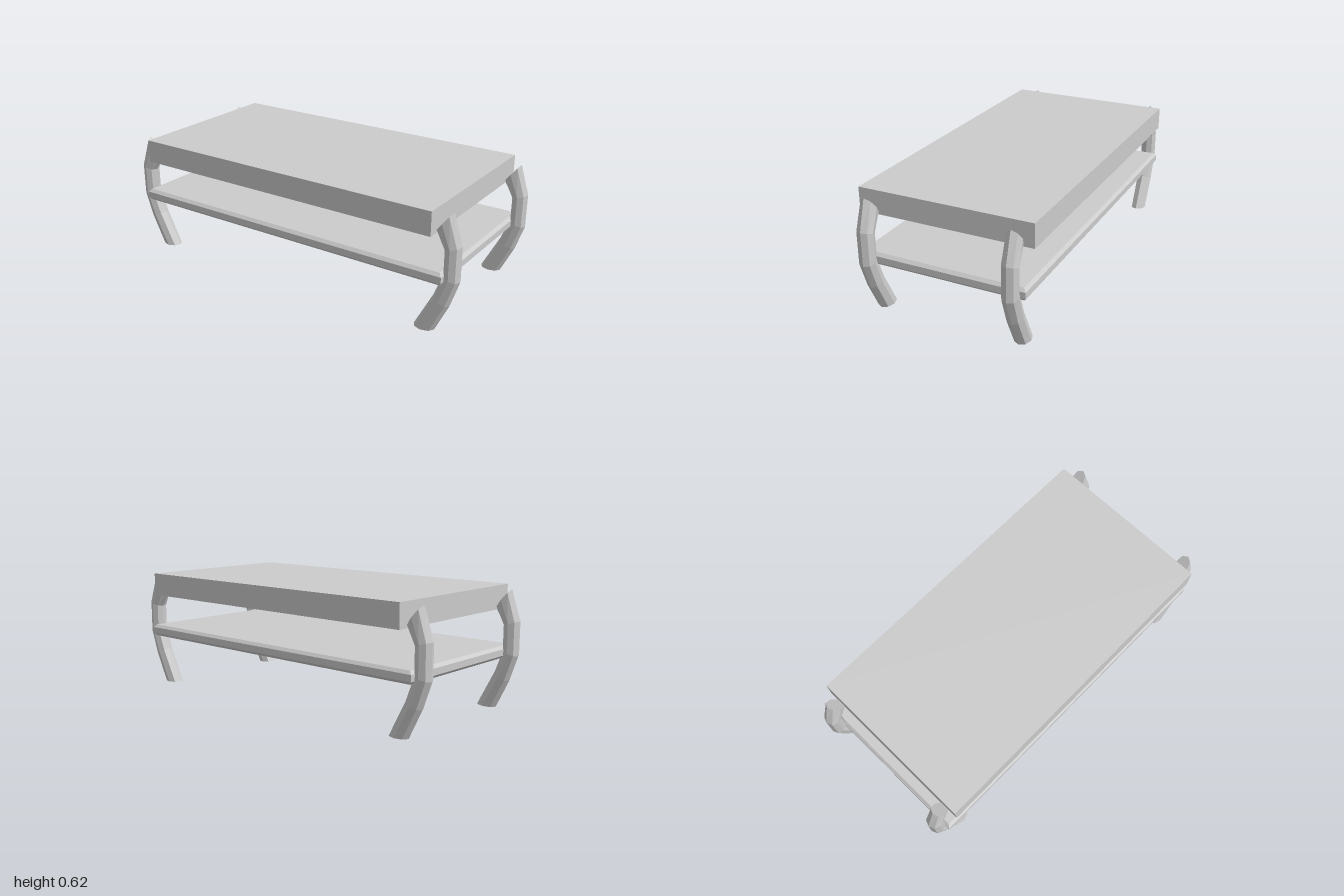
import * as THREE from 'three';

const material = new THREE.MeshStandardMaterial({ color: 0xcccccc, flatShading: true });
const SIDES = 8;

// Leg cross-sections from foot to tip: [centre y, centre z, x radius, outward half-vector y, z]
const LEG_RINGS = [
  [0.003, 0.805, 0.040, -0.002, 0.053],
  [0.165, 0.887, 0.041, -0.020, 0.041],
  [0.290, 0.932, 0.042, -0.012, 0.041],
  [0.440, 0.932, 0.042, 0.012, 0.041],
  [0.555, 0.885, 0.037, 0.052, 0.041],
];

// Bowed leg: octagonal rings skinned together and capped at both ends
function legGeometry() {
  const positions = [];
  const index = [];
  for (const [y, z, r, hy, hz] of LEG_RINGS) {
    for (let i = 0; i < SIDES; i++) {
      const a = (i / SIDES) * Math.PI * 2;
      positions.push(r * Math.sin(a), y + hy * Math.cos(a), z + hz * Math.cos(a));
    }
  }
  const last = (LEG_RINGS.length - 1) * SIDES;
  for (let base = 0; base < last; base += SIDES) {
    for (let i = 0; i < SIDES; i++) {
      const a = base + i;
      const b = base + ((i + 1) % SIDES);
      index.push(a, b, b + SIDES, a, b + SIDES, a + SIDES);
    }
  }
  for (let i = 1; i < SIDES - 1; i++) {
    index.push(0, i + 1, i); // foot cap
    index.push(last, last + i, last + i + 1); // tip cap
  }
  const geometry = new THREE.BufferGeometry();
  geometry.setAttribute('position', new THREE.Float32BufferAttribute(positions, 3));
  geometry.setIndex(index);
  geometry.computeVertexNormals();
  return geometry;
}

// Flat board with chamfered edges, resting on y = 0
function chamferedBoard(width, height, length, chamfer) {
  const w = width / 2 - chamfer;
  const l = length / 2 - chamfer;
  const outline = new THREE.Shape([
    new THREE.Vector2(-w, -l),
    new THREE.Vector2(w, -l),
    new THREE.Vector2(w, l),
    new THREE.Vector2(-w, l),
  ]);
  const geometry = new THREE.ExtrudeGeometry(outline, {
    depth: height - 2 * chamfer,
    bevelSize: chamfer,
    bevelThickness: chamfer,
    bevelSegments: 1,
  });
  return geometry.translate(0, 0, chamfer).rotateX(-Math.PI / 2);
}

export function createModel() {
  const table = new THREE.Group();
  table.name = 'coffeeTable';

  const add = (name, geometry, parent = table) => {
    const mesh = new THREE.Mesh(geometry, material);
    mesh.name = name;
    parent.add(mesh);
    return mesh;
  };

  // Thick top slab
  add('tableTop', new THREE.BoxGeometry(0.897, 0.12, 1.71)).position.y = 0.562;

  // Lower shelf
  add('shelf', chamferedBoard(0.86, 0.063, 1.814, 0.015)).position.y = 0.262;

  // A pair of legs at each end
  const leg = legGeometry();
  for (const end of ['front', 'back']) {
    const pair = new THREE.Group();
    pair.name = end + 'Legs';
    pair.rotation.y = end === 'front' ? 0 : Math.PI;
    for (const x of [-0.37, 0.37]) add(end + 'Leg', leg, pair).position.x = x;
    table.add(pair);
  }

  // The whole table stands slightly turned
  table.rotation.y = 0.073;
  const model = new THREE.Group();
  model.name = 'model';
  model.add(table);
  return model;
}
